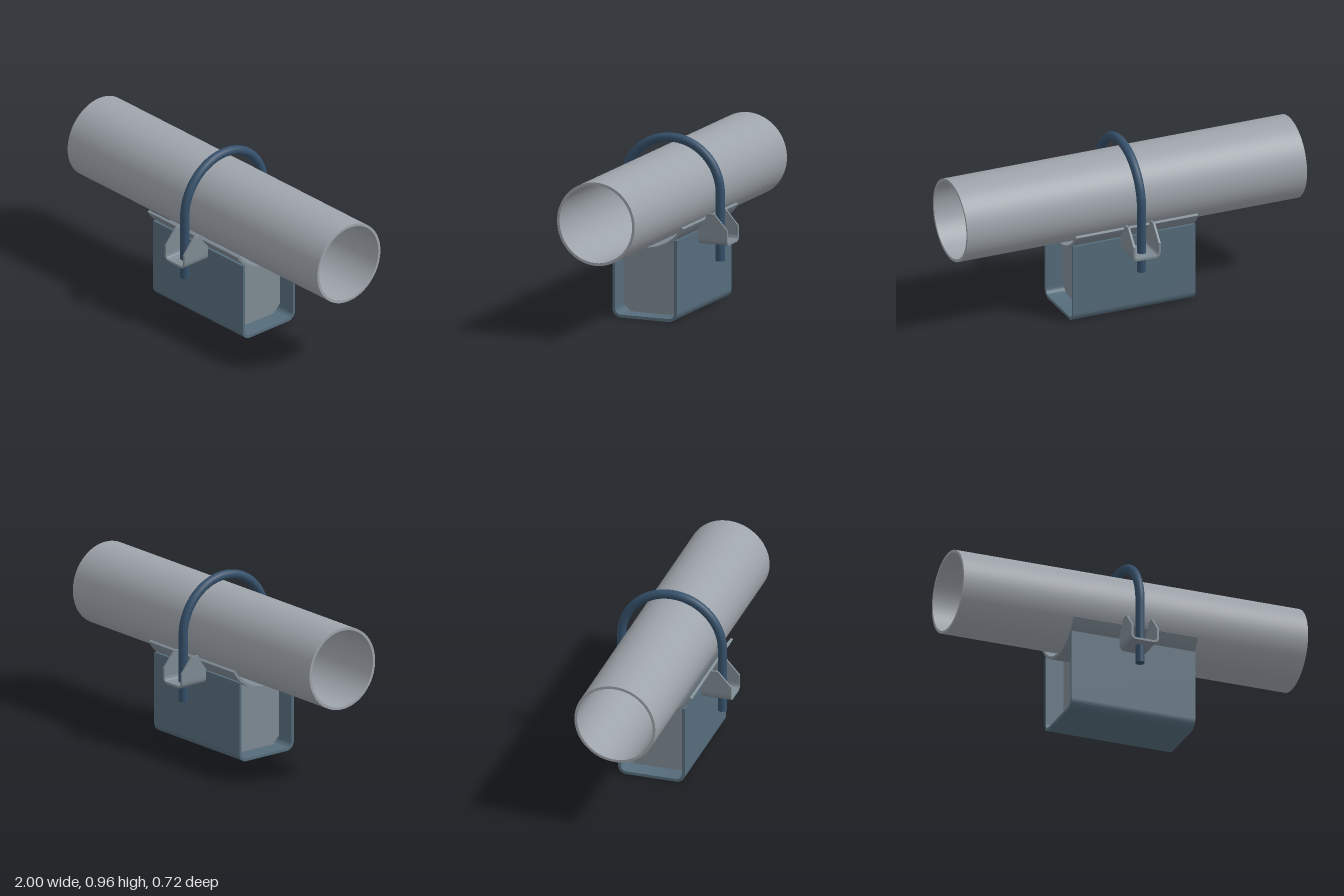
import * as THREE from 'three';
import { toCreasedNormals } from 'three/addons/utils/BufferGeometryUtils.js';

const AXIS_Y = 0.65; // height of the pipe axis
const SADDLE_R = 0.265; // outer radius of the saddle
const material = (color) => new THREE.MeshStandardMaterial({ color });
const pipeMat = material(0x9ea4ab);
const boltMat = material(0x35506a);
const channelMat = material(0x566c7b);
const plateMat = material(0x7f8b94);

function mesh(name, geometry, mat) {
  const m = new THREE.Mesh(geometry, mat);
  m.name = name;
  return m;
}

// Extrudes a shape and centres it on its extrusion axis
function extrude(shape, depth) {
  const g = new THREE.ExtrudeGeometry(shape, { depth, bevelEnabled: false, curveSegments: 32 });
  return toCreasedNormals(g.translate(0, 0, -depth / 2), 0.5);
}

// Shape drawn as (z, y), extruded along x
const extrudeX = (shape, depth) => extrude(shape, depth).rotateY(-Math.PI / 2);

// Upright U section with rounded lower corners
function uSection(half, bottom, top, t, r) {
  const s = new THREE.Shape();
  const ri = r - t;
  s.moveTo(-half, top);
  s.lineTo(-half, bottom + r);
  s.absarc(-half + r, bottom + r, r, Math.PI, Math.PI * 1.5, false);
  s.absarc(half - r, bottom + r, r, Math.PI * 1.5, Math.PI * 2, false);
  s.lineTo(half, top);
  s.lineTo(half - t, top);
  s.absarc(half - r, bottom + r, ri, 0, -Math.PI / 2, true);
  s.absarc(-half + r, bottom + r, ri, -Math.PI / 2, -Math.PI, true);
  s.lineTo(-half + t, top);
  s.closePath();
  return s;
}

const saddleY = (z) => AXIS_Y - Math.sqrt(SADDLE_R ** 2 - z * z);

// U-shaped lug that carries one leg of the bolt, on the +z side
function createLug() {
  const lug = new THREE.Group();
  const inner = 0.19, outer = 0.36, split = 0.42, t = 0.012;
  const base = extrude(uSection(0.08, 0.38, split, t, 0.03), outer - inner);
  base.translate(0, 0, (inner + outer) / 2);
  lug.add(mesh('lugBase', base, plateMat));

  // Cheek outline follows the underside of the saddle
  const cheek = new THREE.Shape();
  cheek.moveTo(inner, split);
  cheek.lineTo(outer, split);
  cheek.lineTo(outer, 0.465);
  cheek.lineTo(0.285, 0.55);
  cheek.lineTo(0.245, 0.55);
  for (let i = 0; i <= 6; i++) {
    const z = 0.229 - (0.229 - inner) * i / 6;
    cheek.lineTo(z, saddleY(z));
  }
  cheek.closePath();
  for (const side of [-1, 1]) {
    const m = mesh('lugCheek', extrudeX(cheek, t), plateMat);
    m.position.x = side * (0.08 - t / 2);
    lug.add(m);
  }
  return lug;
}

export function createModel() {
  const model = new THREE.Group();
  model.name = 'pipeClampSupport';

  // Hollow pipe
  const ring = new THREE.Shape().absarc(0, AXIS_Y, 0.229, 0, Math.PI * 2, false);
  ring.holes.push(new THREE.Path().absarc(0, AXIS_Y, 0.214, 0, Math.PI * 2, true));
  model.add(mesh('pipe', extrudeX(ring, 2), pipeMat));

  // Curved saddle plate below the pipe
  const a0 = -Math.PI / 2 - Math.PI / 3, a1 = -Math.PI / 2 + Math.PI / 3;
  const saddle = new THREE.Shape();
  saddle.absarc(0, AXIS_Y, SADDLE_R, a0, a1, false);
  saddle.absarc(0, AXIS_Y, 0.25, a1, a0, true);
  saddle.closePath();
  model.add(mesh('saddle', extrudeX(saddle, 0.72), plateMat));

  // Bent channel base
  model.add(mesh('channel', extrudeX(uSection(0.19, 0, 0.45, 0.016, 0.05), 0.72), channelMat));

  // Two cross ribs inside the channel
  const rib = new THREE.Shape();
  const half = 0.17, angle = Math.asin(half / SADDLE_R);
  rib.moveTo(-half, 0.06);
  rib.lineTo(-0.127, 0.017);
  rib.lineTo(0.127, 0.017);
  rib.lineTo(half, 0.06);
  rib.absarc(0, AXIS_Y, SADDLE_R, -Math.PI / 2 + angle, -Math.PI / 2 - angle, true);
  rib.closePath();
  for (const side of [-1, 1]) {
    const m = mesh('rib', extrudeX(rib, 0.016), plateMat);
    m.position.x = side * 0.252;
    model.add(m);
  }

  // U-bolt: half ring plus two straight legs
  const bolt = new THREE.Group();
  bolt.name = 'uBolt';
  const arch = mesh('boltArch', new THREE.TorusGeometry(0.285, 0.025, 24, 64, Math.PI), boltMat);
  arch.rotation.y = Math.PI / 2;
  arch.position.y = AXIS_Y;
  bolt.add(arch);
  const legLength = AXIS_Y - 0.28;
  for (const side of [-1, 1]) {
    const leg = mesh('boltLeg', new THREE.CylinderGeometry(0.025, 0.025, legLength, 24), boltMat);
    leg.position.set(0, 0.28 + legLength / 2, side * 0.285);
    bolt.add(leg);
  }
  model.add(bolt);

  // Lugs on the front and back
  ['frontLug', 'backLug'].forEach((name, i) => {
    const lug = createLug();
    lug.name = name;
    lug.rotation.y = i * Math.PI;
    model.add(lug);
  });

  return model;
}
